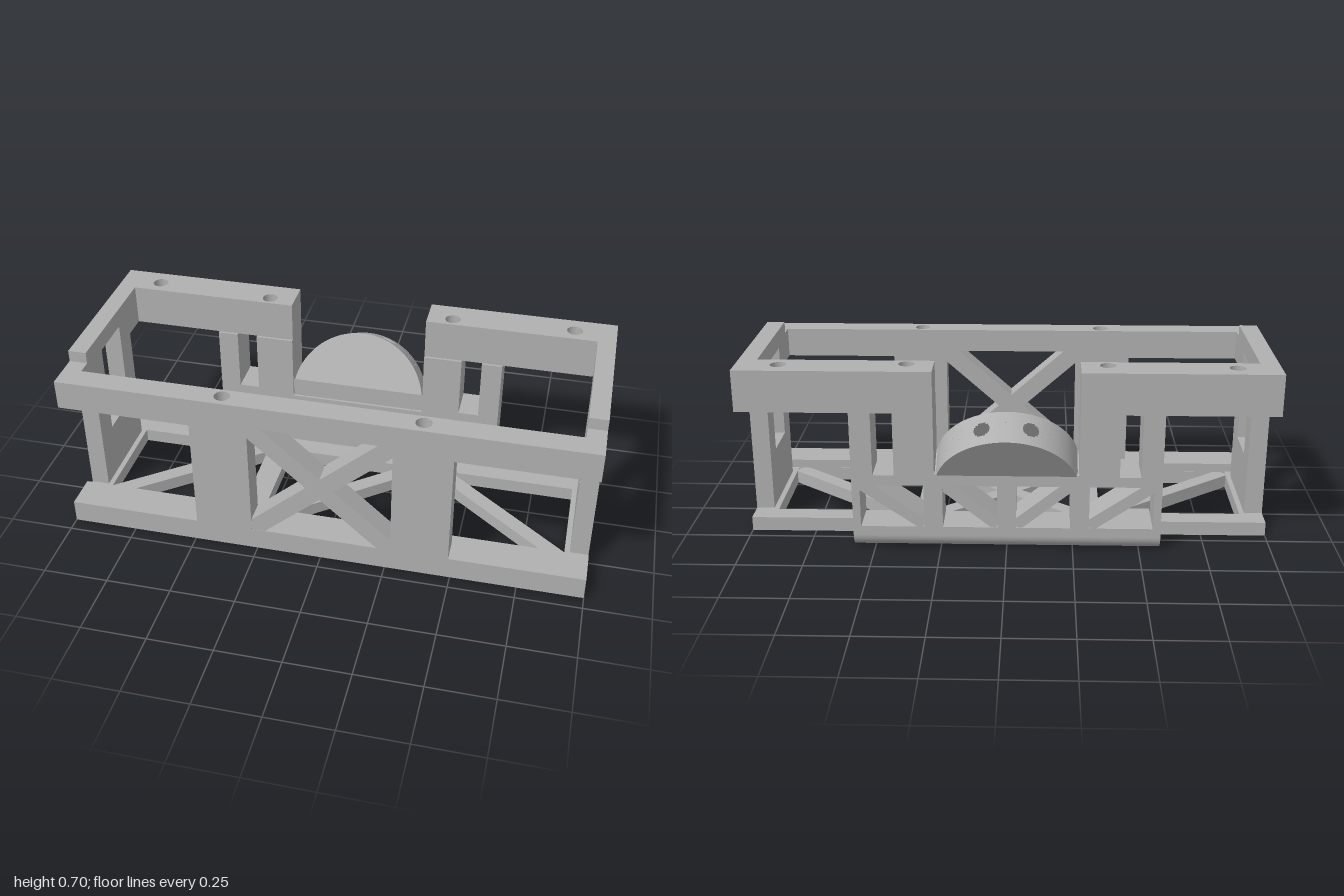
import * as THREE from 'three';

export function createModel() {
  const model = new THREE.Group();
  const grey = new THREE.MeshStandardMaterial({ color: 0xb0b0b0 });
  grey.name = 'grey';

  const add = (name, geo, parent = model) => {
    const m = new THREE.Mesh(geo, grey);
    m.name = name;
    parent.add(m);
    return m;
  };
  const poly = (pts) => new THREE.Shape(pts.map(([x, y]) => new THREE.Vector2(x, y)));
  const extrude = (shape, depth) =>
    new THREE.ExtrudeGeometry(shape, { depth, bevelEnabled: false, curveSegments: 20 });
  const rect = (x0, x1, y0, y1) => poly([[x0, y0], [x1, y0], [x1, y1], [x0, y1]]);
  const circle = (x, y, r = 0.03) => new THREE.Path().absarc(x, y, r, 0, Math.PI * 2, true);

  // Plain block from its limits
  const box = (name, x0, x1, y0, y1, z0, z1) => {
    const g = new THREE.BoxGeometry(x1 - x0, y1 - y0, z1 - z0);
    return add(name, g.translate((x0 + x1) / 2, (y0 + y1) / 2, (z0 + z1) / 2));
  };
  // Horizontal plate with vertical holes
  const slab = (name, x0, x1, y0, y1, z0, z1, holes) => {
    const s = rect(x0, x1, z0, z1);
    s.holes.push(...holes);
    return add(name, extrude(s, y1 - y0).rotateX(Math.PI / 2).translate(0, y1, 0));
  };
  // Side profile in (z, y) carried along x
  const prism = (name, shape, x0, x1) =>
    add(name, extrude(shape, x1 - x0).rotateY(Math.PI / 2).translate(x0, 0, 0));
  // Diagonal bar, drawn in a plane that is upright (xy) or flat (xz)
  const bar = (name, a, b, width, depth, mid, flat) => {
    const dx = b[0] - a[0], dy = b[1] - a[1];
    const g = new THREE.BoxGeometry(Math.hypot(dx, dy), width, depth);
    g.rotateZ(Math.atan2(dy, dx)).translate((a[0] + b[0]) / 2, (a[1] + b[1]) / 2, 0);
    if (flat) g.rotateX(Math.PI / 2);
    g.translate(0, flat ? mid : 0, flat ? 0 : mid);
    return add(name, g);
  };

  // Floor frame with three braced openings
  slab('floorFrame', -1, 1, 0, 0.055, -0.2, 0.31, [
    rect(-0.91, -0.36, -0.12, 0.309), rect(-0.27, 0.27, -0.12, 0.309), rect(0.36, 0.91, -0.12, 0.309),
  ]);
  slab('floorFrontRail', -1, 1, 0, 0.09, 0.31, 0.445, [circle(-0.37, 0.395), circle(0.37, 0.395)]);
  slab('floorRearBeam', -0.58, 0.58, 0, 0.09, -0.29, -0.2, [circle(-0.37, -0.25), circle(0.37, -0.25)]);
  box('floorTab', -0.55, -0.35, 0.055, 0.09, -0.2, -0.155);
  const lip = new THREE.Shape();
  lip.moveTo(0.29, 0);
  lip.absarc(0.29, 0.055, 0.055, -Math.PI / 2, 0, false);
  lip.lineTo(0.345, 0.09);
  lip.lineTo(0.29, 0.09);
  prism('roundedRearEdge', lip, -0.58, 0.58);

  // Front centre window frame
  box('frontWindowHead', -0.27, 0.27, 0.57, 0.66, 0.355, 0.445);

  // Disc mount sill between the rear posts
  prism('discSill', poly([[0.21, 0.28], [0.345, 0.28], [0.345, 0.305], [0.3, 0.305], [0.21, 0.355]]), -0.27, 0.27);

  // Rear lower wall with openings
  const wall = rect(-0.58, 0.58, 0.09, 0.28);
  const bays = [[0.035, 0.24], [0.31, 0.55]];
  for (const s of [-1, 1]) {
    for (const [a, b] of bays) wall.holes.push(rect(Math.min(s * a, s * b), Math.max(s * a, s * b), 0.091, 0.26));
  }
  add('rearTrussWall', extrude(wall, 0.145).translate(0, 0, -0.345));

  for (const s of [-1, 1]) {
    const span = (a, b) => (s > 0 ? [a, b] : [-b, -a]);
    const side = s > 0 ? 'left' : 'right';

    // Cross braces
    bar(side + 'FrontBrace', [-0.27 * s, 0.57], [0.27 * s, 0.09], 0.07, s > 0 ? 0.09 : 0.088, 0.4, false);
    bar(side + 'FloorCross', [-0.27 * s, -0.12], [0.27 * s, 0.31], 0.06, s > 0 ? 0.053 : 0.051, 0.0275, true);
    bar(side + 'FloorDiagonal', [0.38 * s, -0.11], [0.9 * s, 0.3], 0.06, 0.053, 0.0275, true);
    for (const [a, b] of bays)
      bar(side + 'RearTrussDiagonal', [s * a, 0.1], [s * b, 0.265], 0.045, 0.141, -0.2725, false);

    // Front panel and upper front rail
    slab(side + 'FrontPanel', ...span(0.27, 0.49), 0.09, 0.66, 0.355, 0.445, [circle(0.37 * s, 0.395)]);
    box(side + 'FrontRail', ...span(0.49, 1), 0.545, 0.66, 0.355, 0.445);

    // End wall with its window, notched top rail included
    const end = poly([
      [-0.355, 0.545], [-0.265, 0.545], [-0.265, 0.05], [0.11, 0.05], [0.11, 0.545],
      [0.21, 0.545], [0.21, 0.705], [-0.3, 0.705], [-0.3, 0.66], [-0.355, 0.66],
    ]);
    end.holes.push(rect(-0.165, 0.015, 0.27, 0.635));
    prism(side + 'EndWall', end, ...span(0.93, 1));

    // Rear rail and windowed post
    slab(side + 'RearRail', ...span(0.27, 1), 0.545, 0.705, -0.345, -0.21,
      [circle(0.37 * s, -0.25), circle(0.84 * s, -0.27)]);
    slab(side + 'RearPostInner', ...span(0.27, 0.42), 0.28, 0.545, -0.345, -0.2, [circle(0.37 * s, -0.25)]);
    box(side + 'RearPostSill', ...span(0.42, 0.5), 0.28, 0.3, -0.345, -0.2);
    box(side + 'RearPostOuter', ...span(0.5, 0.58), 0.28, 0.545, -0.345, -0.2);
  }

  // Tilted half disc, sliced along its axis so two round bores run through it
  const disc = new THREE.Group();
  disc.name = 'tiltedDisc';
  disc.position.set(0, 0.241, -0.31);
  disc.rotation.x = -Math.PI / 6;
  model.add(disc);
  const R = 0.27, base = 0.05, bore = 0.03, thick = 0.144;
  const edge = Math.sqrt(R * R - base * base);
  const slice = (a, b, w0, w1) => {
    const pts = [[a, base], [b, base]];
    const t0 = Math.acos(b / R), t1 = Math.acos(a / R);
    const n = Math.ceil((t1 - t0) / 0.06);
    for (let i = 0; i <= n; i++) {
      const t = t0 + ((t1 - t0) * i) / n;
      const p = [R * Math.cos(t), R * Math.sin(t)];
      if (p[1] > base + 1e-4) pts.push(p);
    }
    add('discSlice', extrude(poly(pts), w1 - w0).translate(0, 0, w0), disc);
  };
  const mid = thick / 2;
  slice(-edge, edge, 0, mid - bore);
  slice(-edge, edge, mid + bore, thick);
  const steps = 8;
  for (let i = 0; i < steps; i++) {
    const w0 = -bore + (2 * bore * i) / steps, w1 = w0 + (2 * bore) / steps;
    const c = (w0 + w1) / 2;
    const h = Math.sqrt(bore * bore - c * c);
    slice(-edge, -0.09 - h, mid + w0, mid + w1);
    slice(-0.09 + h, 0.09 - h, mid + w0, mid + w1);
    slice(0.09 + h, edge, mid + w0, mid + w1);
  }
  return model;
}
